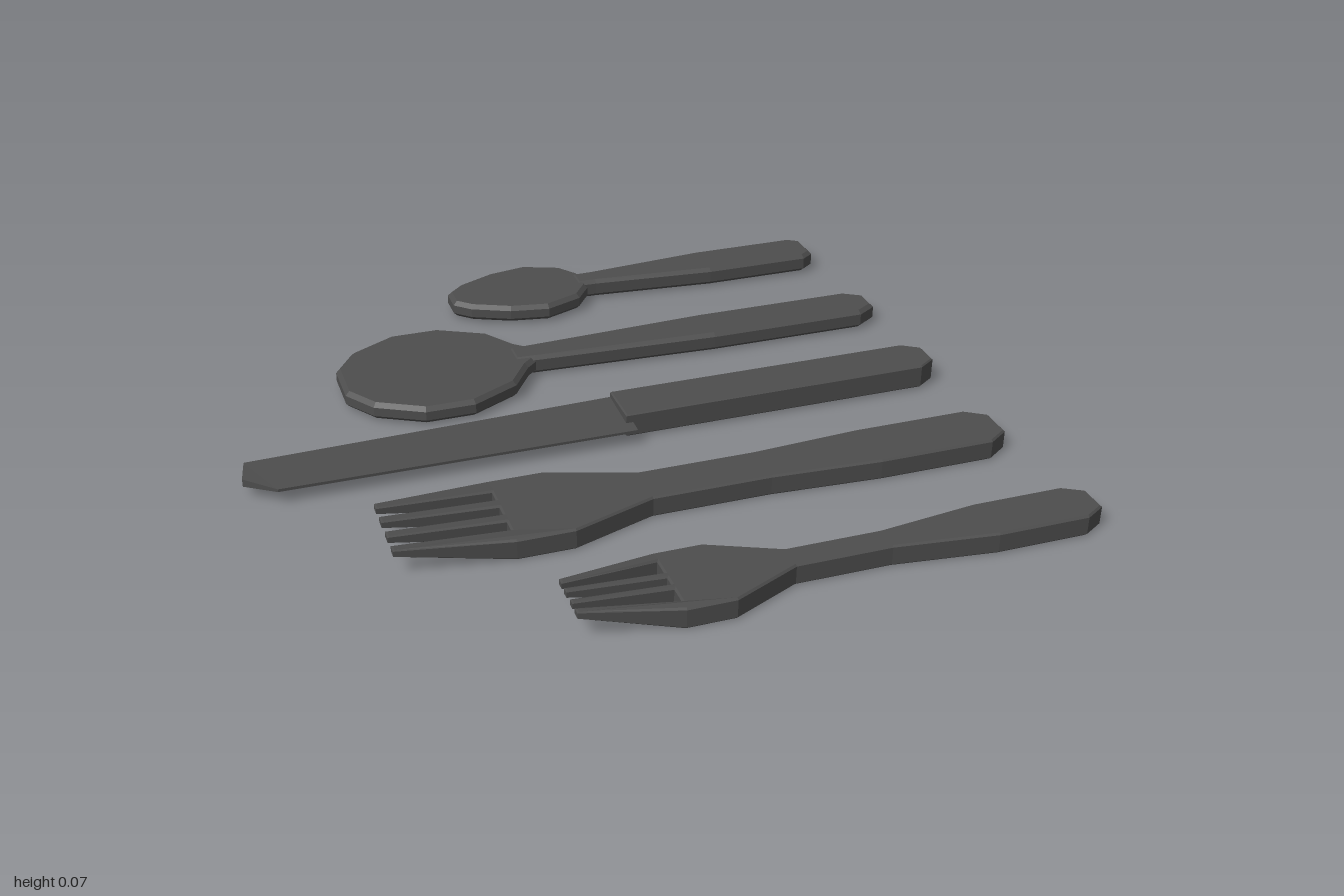
import * as THREE from 'three';

const material = new THREE.MeshStandardMaterial({ color: 0x4d4d4d, flatShading: true });

// Flat slab with chamfered rims: outline in [x, z], standing between y0 and y1
function slab(name, outline, y0, y1, bevel, rule) {
  const shape = new THREE.Shape(outline.map(([x, z]) => new THREE.Vector2(x, -z)));
  const geo = new THREE.ExtrudeGeometry(shape, {
    depth: y1 - y0 - 2 * bevel,
    bevelEnabled: bevel > 0,
    bevelThickness: bevel,
    bevelSize: bevel,
    bevelOffset: -bevel,
    bevelSegments: 1,
  });
  geo.rotateX(-Math.PI / 2).translate(0, y0 + bevel, 0);
  if (rule) {
    const p = geo.attributes.position;
    for (let i = 0; i < p.count; i++) p.setY(i, rule(p.getX(i), p.getY(i), p.getZ(i)));
  }
  geo.computeVertexNormals();
  const mesh = new THREE.Mesh(geo, material);
  mesh.name = name;
  return mesh;
}

// Closed outline from [x, halfWidth] points running along one side
const mirrored = (half) => [...half, ...half.map(([x, w]) => [x, -w]).reverse()];

function spoon(name, z, bowl, handle) {
  const group = new THREE.Group();
  group.name = name;
  group.add(slab('bowl', mirrored(bowl), 0.006, 0.056, 0.012));
  group.add(slab('handle', mirrored(handle), 0.004, 0.06, 0.011));
  group.position.z = z;
  return group;
}

// Fork: tines are [rootOuter, rootInner, tipOuter, tipInner] half widths
function fork(name, z, tip, root, tines, body) {
  const [outer, inner] = tines;
  const half = [
    [root, inner[1]], [tip, inner[3]], [tip, inner[2]], [root, inner[0]],
    [root, outer[1]], [tip, outer[3]], [tip, outer[2]], [root, outer[0]],
    ...body,
  ];
  // Tines thin out and rise towards their tips
  const rise = (x, y) => {
    const t = THREE.MathUtils.clamp((root - x) / (root - tip), 0, 1);
    return THREE.MathUtils.lerp(y, 0.052 + 0.3 * y, t);
  };
  const group = new THREE.Group();
  group.name = name;
  group.add(slab('forkBody', mirrored(half), 0, 0.058, 0.005, rise));
  group.position.z = z;
  return group;
}

function knife() {
  const group = new THREE.Group();
  group.name = 'knife';
  // Blade thins from the spine to the cutting edge
  const blade = [[0.04, -0.048], [0.04, 0.13], [-0.92, 0.125], [-1, 0.06], [-0.985, -0.015]];
  group.add(slab('blade', blade, 0.03, 0.058, 0, (x, y, z) => {
    const t = THREE.MathUtils.clamp((z - 0.03) / 0.1, 0, 1);
    return 0.042 + (y - 0.044) * (1 - 0.75 * t);
  }));
  const handle = [[0.02, -0.048], [0.9, -0.048], [0.95, -0.015], [0.95, 0.057], [0.9, 0.09], [0.02, 0.09]];
  group.add(slab('knifeHandle', handle, 0.006, 0.073, 0.004));
  return group;
}

export function createModel() {
  const model = new THREE.Group();
  model.name = 'cutlerySet';

  model.add(spoon('teaspoon', -0.795,
    [[-0.245, 0.037], [-0.2, 0.08], [-0.09, 0.13], [0.025, 0.15], [0.135, 0.107], [0.18, 0.045]],
    [[0.15, 0.036], [0.21, 0.037], [0.58, 0.07], [0.9, 0.07], [0.937, 0.045]]));

  model.add(spoon('soupSpoon', -0.373,
    [[-0.665, 0.07], [-0.605, 0.16], [-0.475, 0.23], [-0.335, 0.23], [-0.2, 0.16], [-0.14, 0.07], [-0.11, 0.043]],
    [[-0.17, 0.04], [-0.11, 0.043], [0.43, 0.07], [0.9, 0.07], [0.957, 0.035]]));

  model.add(knife());

  model.add(fork('dinnerFork', 0.412, -0.71, -0.415,
    [[0.141, 0.09, 0.11, 0.085], [0.051, 0.018, 0.048, 0.02]],
    [[-0.265, 0.141], [-0.04, 0.064], [0.28, 0.064], [0.58, 0.083], [0.9, 0.083], [0.957, 0.045]]));

  model.add(fork('dessertFork', 0.822, -0.37, -0.125,
    [[0.118, 0.083, 0.07, 0.05], [0.034, 0.014, 0.032, 0.014]],
    [[0, 0.118], [0.18, 0.037], [0.43, 0.037], [0.7, 0.07], [0.945, 0.07], [1, 0.038]]));

  return model;
}
